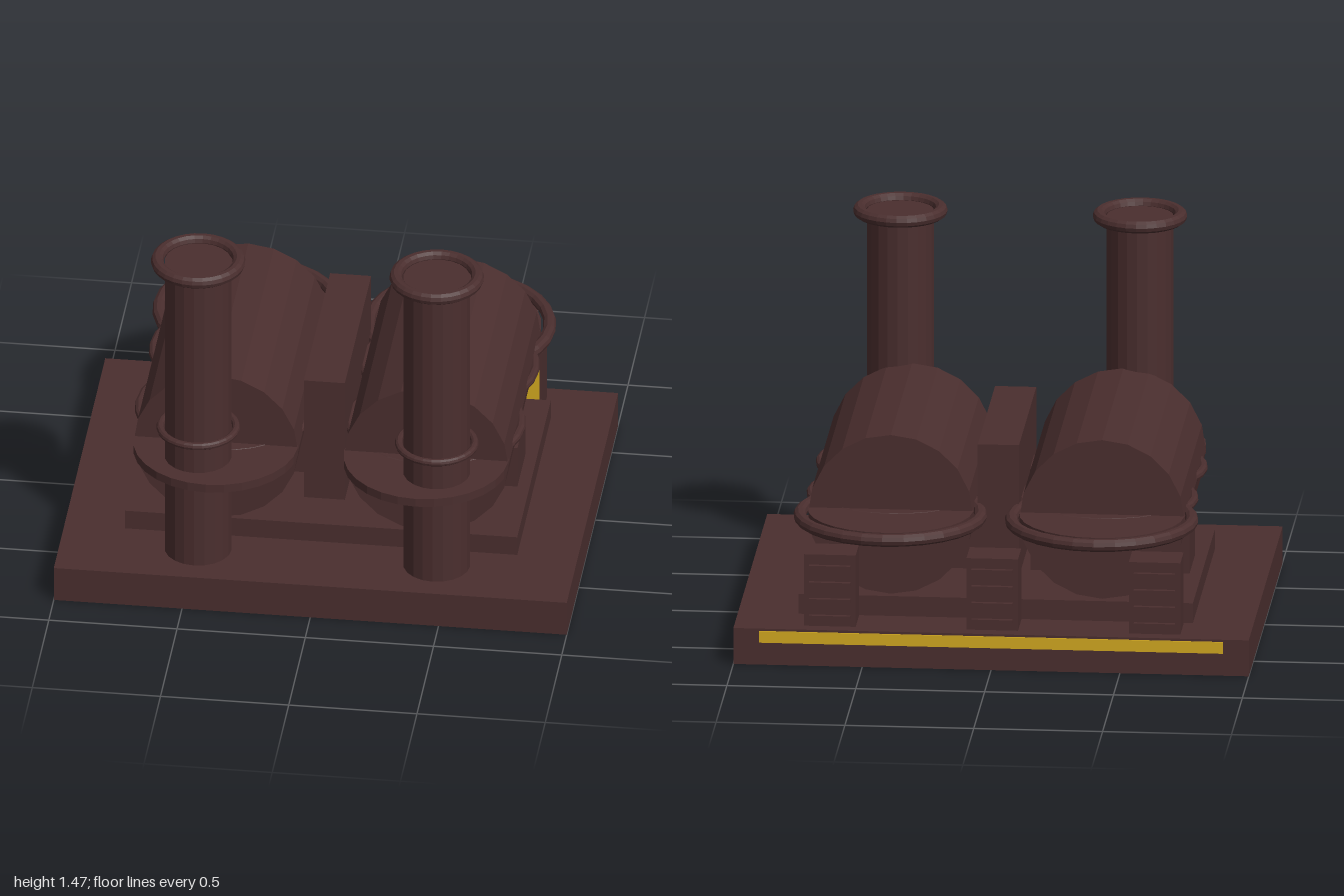
import * as THREE from 'three';

export function createModel() {
  const model = new THREE.Group();
  const iron = new THREE.MeshStandardMaterial({ color: 0x4a2e2e });
  iron.name = 'darkIron';
  const brass = new THREE.MeshStandardMaterial({ color: 0xd2a820 });
  brass.name = 'brass';

  // Adds a faceted mesh to a parent
  function add(parent, name, geometry, material, x, y, z) {
    const faceted = geometry.toNonIndexed();
    faceted.computeVertexNormals();
    const mesh = new THREE.Mesh(faceted, material);
    mesh.name = name;
    mesh.position.set(x, y, z);
    parent.add(mesh);
    return mesh;
  }

  // Box given by its limits on each axis
  function box(parent, name, material, [x0, x1], [y0, y1], [z0, z1]) {
    const geometry = new THREE.BoxGeometry(x1 - x0, y1 - y0, z1 - z0);
    return add(parent, name, geometry, material, (x0 + x1) / 2, (y0 + y1) / 2, (z0 + z1) / 2);
  }

  // Horizontal ring
  function ring(parent, name, radius, tube, x, y, z) {
    const geometry = new THREE.TorusGeometry(radius, tube, 10, 28).rotateX(Math.PI / 2);
    return add(parent, name, geometry, iron, x, y, z);
  }

  // Base slab with brass strip along the back, and raised plinth
  box(model, 'base', iron, [-1, 1], [0, 0.145], [-0.705, 0.85]);
  box(model, 'backStrip', brass, [-0.9, 0.9], [0.09, 0.136], [-0.711, -0.704]);
  box(model, 'plinth', iron, [-0.765, 0.765], [0.145, 0.225], [-0.49, 0.525]);

  // Raised duct between the boilers
  box(model, 'centralDuct', iron, [-0.08, 0.08], [0.28, 0.81], [-0.37, 0.425]);

  for (const side of [-1, 1]) {
    const unit = new THREE.Group();
    unit.name = side > 0 ? 'leftBoilerUnit' : 'rightBoilerUnit';
    model.add(unit);
    const x = side * 0.41;

    // Horizontal boiler on its saddle
    const drum = new THREE.CylinderGeometry(0.32, 0.32, 0.98, 20).rotateX(Math.PI / 2);
    add(unit, 'boiler', drum, iron, x, 0.545, 0.032);
    box(unit, 'saddle', iron, [x - 0.308, x + 0.308], [0.225, 0.4], [-0.09, 0.155]);

    // Round shelves halfway up both ends
    for (const z of [-0.46, 0.522]) {
      const shelf = new THREE.CylinderGeometry(0.32, 0.32, 0.035, 28);
      add(unit, z > 0 ? 'frontShelf' : 'backShelf', shelf, iron, x, 0.548, z);
    }

    // Rings cutting through the boiler, the large one standing clear at the back
    ring(unit, 'backRing', 0.35, 0.025, x, 0.55, -0.48);
    for (const z of [-0.18, 0.245]) ring(unit, 'sideRing', 0.332, 0.018, x, 0.55, z);

    // Chimney with a middle band and a rim
    const stackX = side * 0.465, stackZ = 0.632;
    add(unit, 'chimney', new THREE.CylinderGeometry(0.13, 0.13, 1.305, 20), iron, stackX, 0.7975, stackZ);
    ring(unit, 'chimneyBand', 0.147, 0.015, stackX, 0.697, stackZ);
    ring(unit, 'chimneyRim', 0.158, 0.025, stackX, 1.45, stackZ);
  }

  // Vents along the back: brass plate in front, slats behind
  for (const x of [-0.63, 0, 0.63]) {
    const vent = new THREE.Group();
    vent.name = 'vent';
    model.add(vent);
    box(vent, 'ventBox', iron, [x - 0.1, x + 0.1], [0.145, 0.433], [-0.65, -0.5]);
    box(vent, 'ventPlate', brass, [x - 0.09, x + 0.09], [0.2, 0.352], [-0.501, -0.493]);
    for (const y of [0.185, 0.252, 0.319, 0.386]) {
      box(vent, 'slat', iron, [x - 0.08, x + 0.08], [y - 0.006, y + 0.006], [-0.668, -0.648]);
    }
  }

  return model;
}
